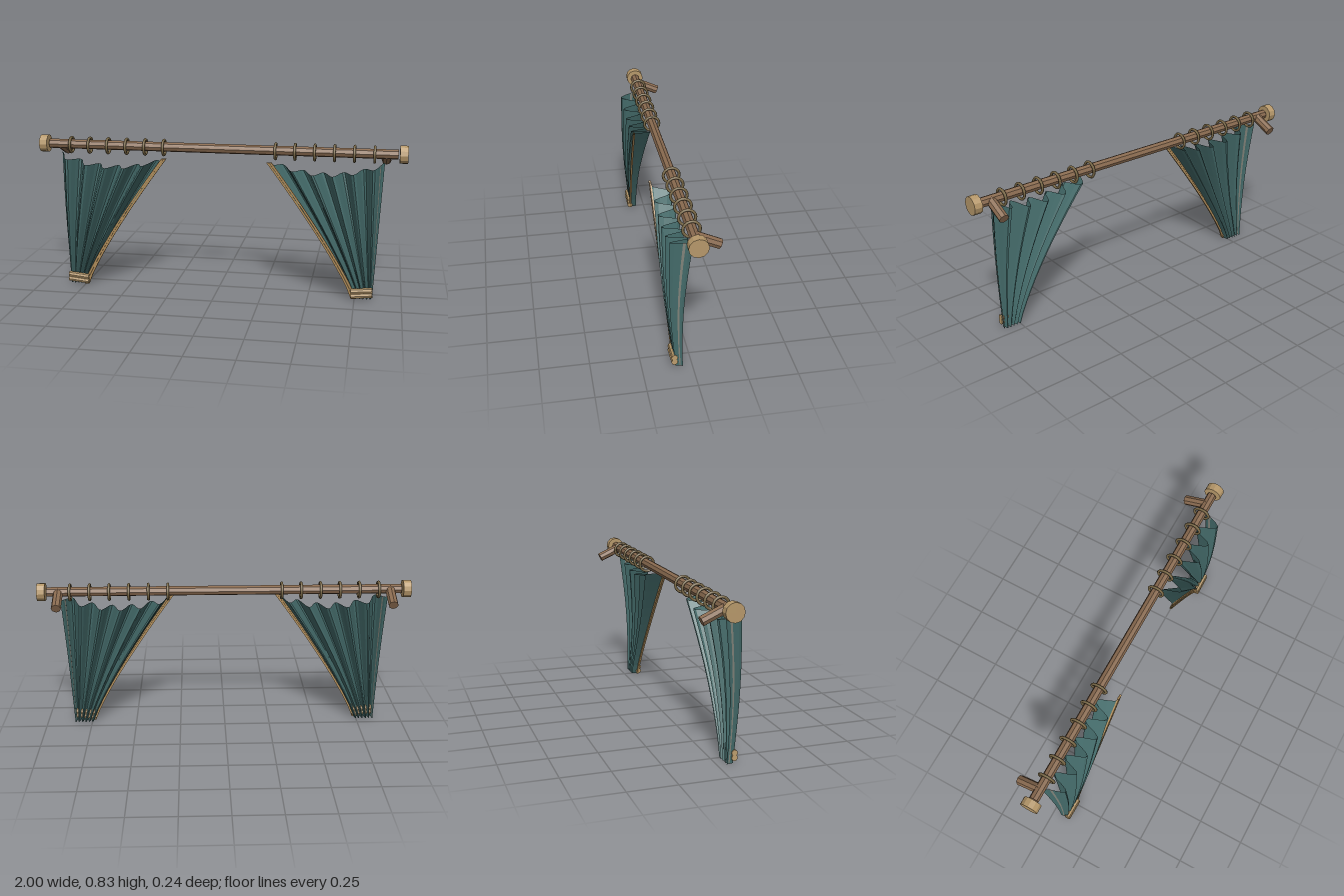
import * as THREE from 'three';

const material = (name, color, extra = {}) => {
  const m = new THREE.MeshStandardMaterial({ color, ...extra });
  m.name = name;
  return m;
};
const lerp = THREE.MathUtils.lerp;
const ROD_Y = 0.79, ROD_Z = 0.012;

// Grid surface from fn(column, row), with flat facets
function gridSurface(cols, rows, fn) {
  const pos = [], index = [];
  for (let j = 0; j <= rows; j++)
    for (let i = 0; i <= cols; i++) pos.push(...fn(i, j));
  for (let j = 0; j < rows; j++)
    for (let i = 0; i < cols; i++) {
      const a = j * (cols + 1) + i, b = a + 1, c = a + cols + 1, d = c + 1;
      index.push(a, b, d, a, d, c);
    }
  const g = new THREE.BufferGeometry();
  g.setAttribute('position', new THREE.Float32BufferAttribute(pos, 3));
  g.setIndex(index);
  const flat = g.toNonIndexed();
  flat.computeVertexNormals();
  return flat;
}

// Point on the drape: u runs outer to inner edge, t runs bottom to top
function drape(side, u, t) {
  const bottomX = lerp(0.845, 0.735, u), topX = lerp(0.882, 0.272, u);
  const x = lerp(bottomX, topX, Math.pow(t, 1 + 0.18 * u));
  const y = lerp(0.006, 0.745 - 0.26 * u * (1 - u), t);
  const mid = 0.065 + 0.016 * Math.sin(Math.PI * t);
  const depth = 0.018 + 0.034 * Math.pow(t, 1.2);
  const recede = 0.012 * Math.pow(u, 12) * Math.sin(Math.PI * t);
  const fold = Math.max(0, 0.96 - u) / 0.96; // the inner border stays flat
  return [side * x, y, mid - recede + depth * Math.cos(2 * Math.PI * 5.5 * fold)];
}

export function createModel() {
  const group = new THREE.Group();
  group.name = 'curtains';
  const faceted = { flatShading: true };
  const wood = material('wood', 0x8a6b50, faceted);
  const brass = material('brass', 0xb6986a, faceted);
  const bronze = material('bronze', 0x7a6947);
  const cloth = material('teal cloth', 0x446b6a, { side: THREE.DoubleSide });
  const trimGold = material('gold trim', 0xb08d5a, { side: THREE.DoubleSide });
  const hem = material('grey hem', 0x81847b, { side: THREE.DoubleSide });

  const add = (name, geometry, mat) => {
    const mesh = new THREE.Mesh(geometry, mat);
    mesh.name = name;
    group.add(mesh);
    return mesh;
  };
  const bar = (name, radius, length, sides, mat, x, y, z) => {
    const g = new THREE.CylinderGeometry(radius, radius, length, sides).rotateZ(Math.PI / 2);
    const m = add(name, g, mat);
    m.position.set(x, y, z);
    return m;
  };

  bar('rod', 0.026, 1.9, 8, wood, 0, ROD_Y, ROD_Z);

  // Closed strip of four long faces; point(k, t) gives its two sides, dz its thickness
  const strip = (point, front, back) => gridSurface(4, 12, (i, j) => {
    const k = i % 4;
    const p = point(k === 1 || k === 2 ? 1 : 0, j / 12);
    p[2] += k < 2 ? front : -back;
    return p;
  });

  for (const side of [-1, 1]) {
    const label = side > 0 ? 'left' : 'right';
    bar(label + 'Finial', 0.048, 0.043, 12, brass, side * 0.9785, ROD_Y, ROD_Z);

    // Wall bracket sloping down and back
    const from = new THREE.Vector3(side * 0.89, ROD_Y, ROD_Z);
    const to = new THREE.Vector3(side * 0.89, 0.735, -0.109);
    const dir = to.clone().sub(from);
    const bracket = add(label + 'Bracket', new THREE.CylinderGeometry(0.026, 0.026, dir.length(), 8), wood);
    bracket.position.copy(from).add(to).multiplyScalar(0.5);
    bracket.quaternion.setFromUnitVectors(new THREE.Vector3(0, 1, 0), dir.normalize());

    // Rings around the rod
    for (let i = 0; i < 6; i++) {
      const ring = add(label + 'Ring', new THREE.TorusGeometry(0.041, 0.0075, 6, 18).rotateY(Math.PI / 2), bronze);
      ring.position.set(side * (0.305 + i * 0.1045), ROD_Y - 0.004, ROD_Z);
    }

    // Pleated drape, gathered at the bottom
    add(label + 'Drape', gridSurface(50, 12, (i, j) => drape(side, i / 50, j / 12)), cloth);

    // Two gold ribbons of constant width along the inner edge
    for (const [inset, front] of [[-0.003, 0.005], [0.011, 0.003]]) {
      const ribbon = strip((k, t) => {
        const p = drape(side, 1, t);
        p[0] += side * (inset + 0.013 * k);
        return p;
      }, front, 0.006);
      add(label + 'EdgeTrim', ribbon, trimGold);
    }

    // Thin hem on the outer fold
    add(label + 'OuterHem', strip((k, t) => drape(side, lerp(0.031, 0.038, k), t), 0.002, 0.002), hem);

    // Two stacked tieback cords, dipping inward
    for (const y of [0.029, 0.054]) {
      const cord = bar(label + 'Tieback', 0.016, 0.115, 8, brass, side * 0.788, y, 0.088);
      cord.rotation.z = side * 0.1;
    }
  }
  return group;
}
